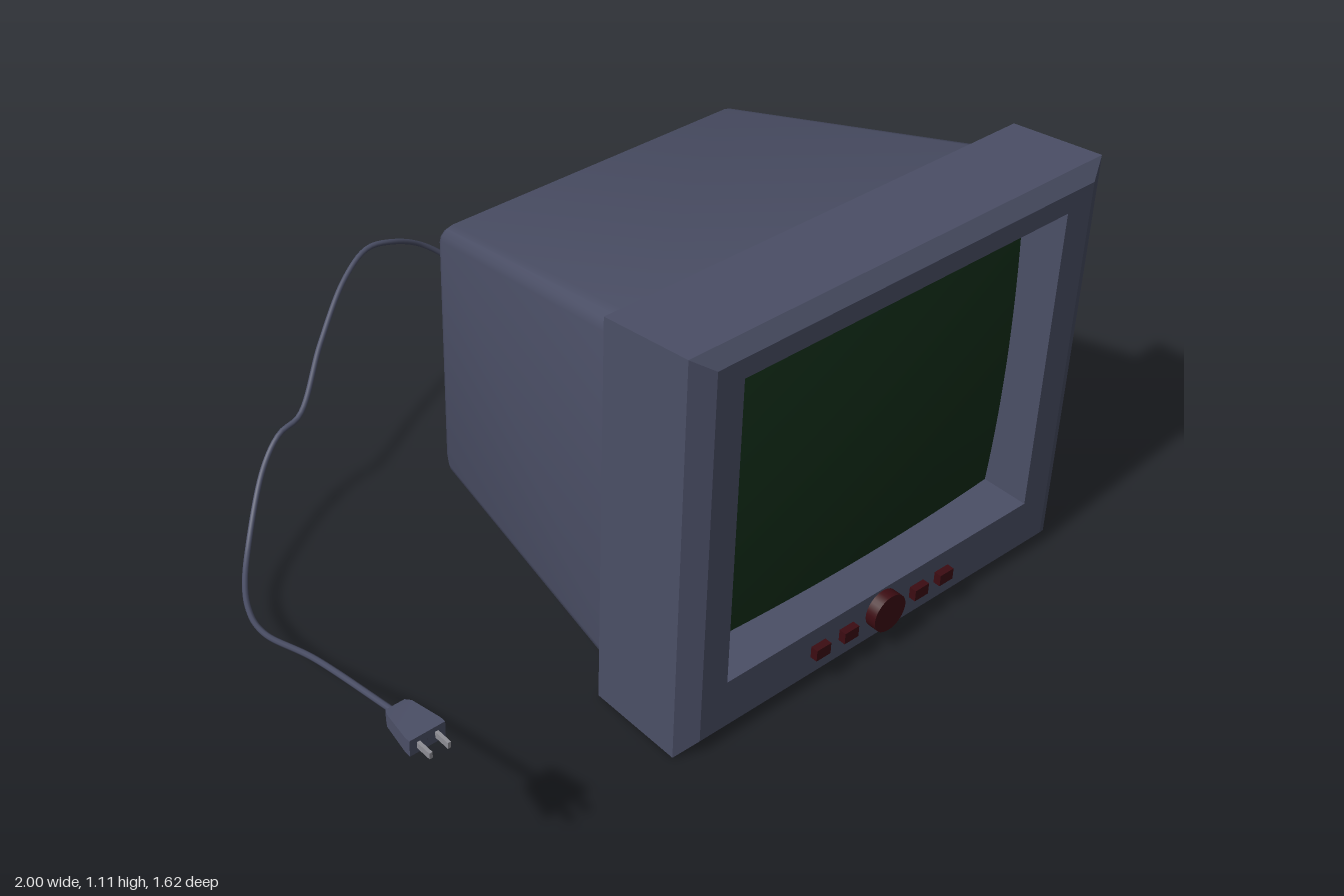
import * as THREE from 'three';
import { toCreasedNormals } from 'three/addons/utils/BufferGeometryUtils.js';

const mat = (color, side = THREE.FrontSide) => new THREE.MeshStandardMaterial({ color, side });

// Rounded rectangle loop at depth z, anticlockwise seen from the front; r = 0 gives four corners
function section(z, x0, x1, y0, y1, r = 0) {
  const pts = [];
  const steps = r > 0 ? 3 : 0;
  const corners = [[x1 - r, y0 + r], [x1 - r, y1 - r], [x0 + r, y1 - r], [x0 + r, y0 + r]];
  corners.forEach(([cx, cy], k) => {
    for (let i = 0; i <= steps; i++) {
      const a = (k - 1 + (steps ? i / steps : 0)) * Math.PI / 2;
      pts.push([cx + r * Math.cos(a), cy + r * Math.sin(a), z]);
    }
  });
  return pts;
}

// Skin between consecutive loops, with hard edges above the crease angle
function loft(sections, crease) {
  const n = sections[0].length;
  const index = [];
  for (let i = 0; i < sections.length - 1; i++) {
    for (let j = 0; j < n; j++) {
      const a = i * n + j, b = i * n + (j + 1) % n;
      index.push(a, b, b + n, a, b + n, a + n);
    }
  }
  const geo = new THREE.BufferGeometry();
  geo.setAttribute('position', new THREE.Float32BufferAttribute(sections.flat(2), 3));
  geo.setIndex(index);
  return toCreasedNormals(geo, crease);
}

export function createModel() {
  const group = new THREE.Group();
  const plastic = mat(0x4b4f66);
  const red = mat(0x3c0c12);
  const metal = mat(0x8f8f96);

  function add(name, geo, material, x = 0, y = 0, z = 0) {
    const mesh = new THREE.Mesh(geo, material);
    mesh.name = name;
    mesh.position.set(x, y, z);
    group.add(mesh);
    return mesh;
  }

  // Front frame: back wall, sides, bevelled rim, front face, recessed opening
  add('bezel', loft([
    section(0.49, -0.15, 0.87, 0.12, 0.97),
    section(0.49, -0.28, 1.0, 0.005, 1.08),
    section(0.75, -0.28, 1.0, 0, 1.11),
    section(0.78, -0.225, 0.945, 0.04, 1.073),
    section(0.78, -0.147, 0.863, 0.175, 1.02),
    section(0.64, -0.147, 0.863, 0.175, 1.02),
  ], 0.1), plastic);

  // Slightly bulging glass
  const glass = new THREE.PlaneGeometry(1.01, 0.845, 16, 16);
  const p = glass.attributes.position;
  for (let i = 0; i < p.count; i++) {
    const u = p.getX(i) / 0.505, v = p.getY(i) / 0.4225;
    p.setZ(i, 0.035 * (1 - (u * u + v * v) / 2));
  }
  glass.computeVertexNormals();
  add('screen', glass, mat(0x14301a), 0.358, 0.5975, 0.65);

  // Tapered rear housing with softened edges
  add('rearHousing', loft([
    section(-0.325, 0.36, 0.36, 0.45, 0.45, 0.001),
    section(-0.325, -0.09, 0.81, 0.15, 0.805, 0.02),
    section(-0.316, -0.106, 0.826, 0.128, 0.832, 0.03),
    section(-0.29, -0.12, 0.84, 0.112, 0.855, 0.035),
    section(0.495, -0.237, 0.957, 0.035, 1.047, 0.045),
  ], 0.6), plastic);

  // Controls
  [0.147, 0.24, 0.48, 0.567].forEach((x, i) =>
    add('button' + (i + 1), new THREE.BoxGeometry(0.046, 0.032, 0.03), red, x, 0.11, 0.785));
  add('knob', new THREE.CylinderGeometry(0.052, 0.052, 0.04, 32), red, 0.358, 0.118, 0.79)
    .rotation.x = Math.PI / 2;

  // Power cord and its socket collar
  add('cordCollar', new THREE.BoxGeometry(0.038, 0.038, 0.025), plastic, 0.36, 0.19, -0.328);
  const path = [
    [0.36, 0.19, -0.32], [0.361, 0.2, -0.5], [0.345, 0.25, -0.65], [0.3, 0.335, -0.76],
    [0.2, 0.43, -0.803], [0.08, 0.495, -0.793], [0, 0.508, -0.788], [-0.1, 0.475, -0.75],
    [-0.25, 0.385, -0.655], [-0.4, 0.29, -0.542], [-0.47, 0.273, -0.53], [-0.55, 0.225, -0.49],
    [-0.7, 0.115, -0.35], [-0.76, 0.1, -0.27], [-0.82, 0.13, -0.155], [-0.88, 0.21, 0.01],
    [-0.93, 0.37, 0.31], [-0.955, 0.475, 0.65],
  ].map(q => new THREE.Vector3(...q));
  add('powerCord', new THREE.TubeGeometry(new THREE.CatmullRomCurve3(path), 160, 0.0075, 8), plastic);

  // Plug body with two blades
  const px = -0.955, py = 0.48;
  const plugRing = (z, w, h) => section(z, px - w, px + w, py - h, py + h);
  add('plug', loft([
    plugRing(0.635, 0.001, 0.001), plugRing(0.635, 0.024, 0.014), plugRing(0.65, 0.032, 0.018),
    plugRing(0.73, 0.045, 0.021), plugRing(0.745, 0.045, 0.021), plugRing(0.745, 0.001, 0.001),
  ], 0.3), plastic);
  for (const s of [-1, 1]) {
    add(s < 0 ? 'rightBlade' : 'leftBlade', new THREE.BoxGeometry(0.008, 0.016, 0.05), metal,
      px + s * 0.023, py, 0.762);
  }
  return group;
}
